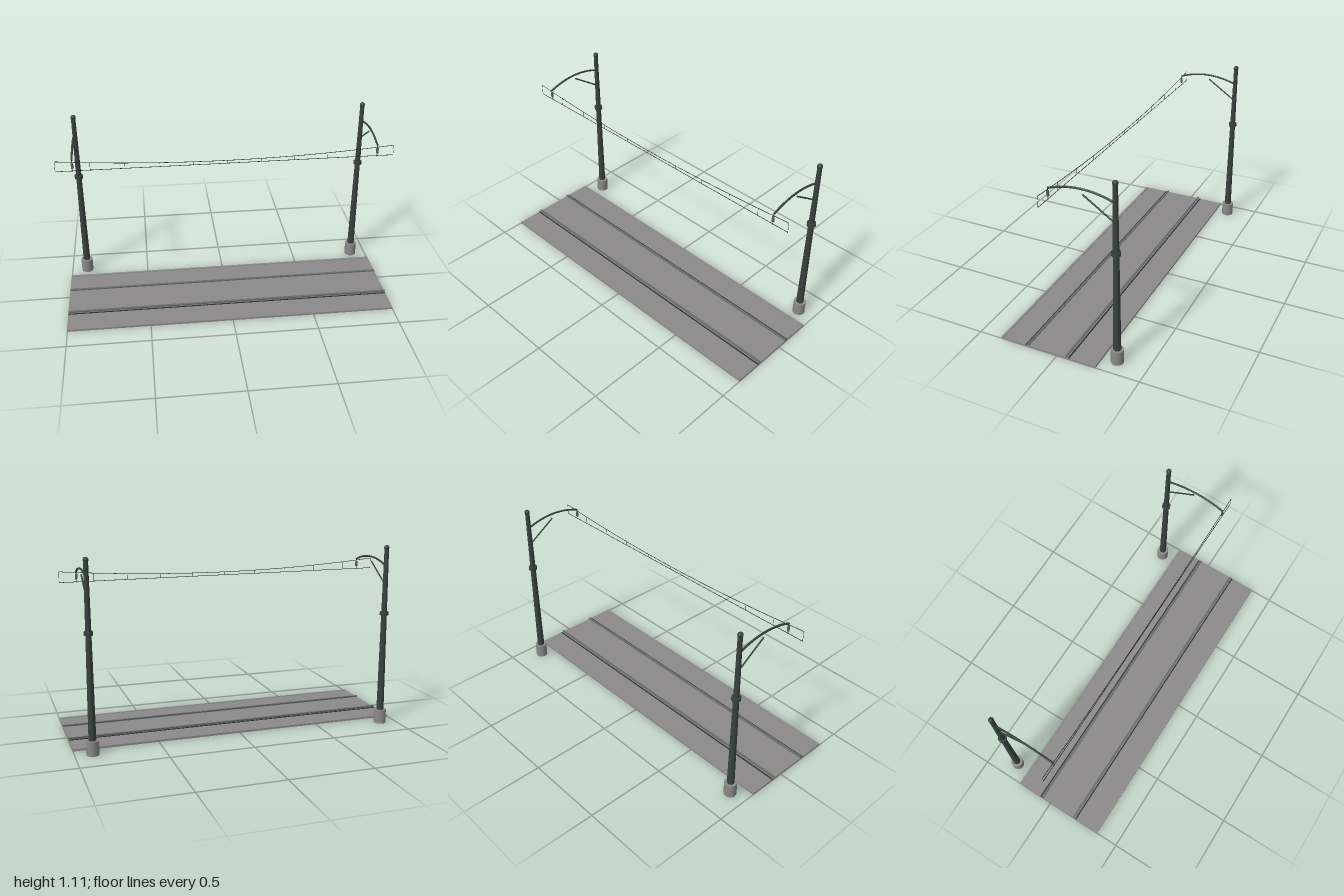
import * as THREE from 'three';

const mat = (name, color, side = THREE.FrontSide) => {
  const m = new THREE.MeshStandardMaterial({ color, side });
  m.name = name;
  return m;
};

export function createModel() {
  const concrete = mat('concrete', 0x8b8989);
  const iron = mat('dark green iron', 0x39423f);
  const steel = mat('rail steel', 0x666d6b);
  const groove = mat('groove black', 0x2e3130);
  const wire = mat('wire', 0x262828);
  const ceramic = mat('insulator grey', 0x5c5f5f);

  const model = new THREE.Group();
  model.name = 'tramTrackWithOverheadLine';

  const add = (parent, name, geometry, material, x = 0, y = 0, z = 0) => {
    const mesh = new THREE.Mesh(geometry, material);
    mesh.name = name;
    mesh.position.set(x, y, z);
    parent.add(mesh);
    return mesh;
  };
  const box = (w, h, d) => new THREE.BoxGeometry(w, h, d);
  const cyl = (rTop, rBottom, h, sides = 16) => new THREE.CylinderGeometry(rTop, rBottom, h, sides);
  // Round bar between two points
  const bar = (parent, name, a, b, r, material, sides = 8) => {
    const mesh = add(parent, name, cyl(r, r, a.distanceTo(b), sides), material);
    mesh.position.copy(a).add(b).multiplyScalar(0.5);
    mesh.quaternion.setFromUnitVectors(new THREE.Vector3(0, 1, 0), b.clone().sub(a).normalize());
    return mesh;
  };
  const v = (x, y, z) => new THREE.Vector3(x, y, z);

  // Track bed, edged with low kerbs; the track is symmetric about z = trackZ
  const track = new THREE.Group();
  track.name = 'track';
  track.position.z = 0.06;
  model.add(track);
  add(track, 'trackBed', box(2, 0.009, 0.57), concrete, 0, 0.0045, 0);

  // T-shaped rail section, drawn in (z, y) and swept along x
  const half = [[0.0025, 0.008], [0.0025, 0.014], [0.007, 0.0175], [0.007, 0.02]];
  const section = new THREE.Shape(
    [...half, ...half.map(([z, y]) => [-z, y]).reverse()].map(([z, y]) => new THREE.Vector2(z, y)));
  const railGeometry = new THREE.ExtrudeGeometry(section, { depth: 2, bevelEnabled: false });
  railGeometry.translate(0, 0, -1).rotateY(Math.PI / 2);

  for (const s of [-1, 1]) {
    add(track, 'kerb', box(2, 0.012, 0.014), concrete, 0, 0.006, s * 0.292);
    add(track, 'rail', railGeometry, steel, 0, 0, s * 0.12);
    add(track, 'flangeGroove', box(2, 0.003, 0.008), groove, 0, 0.0101, s * 0.135);
  }

  // Poles with curved bracket arms
  const poleZ = -0.322, wireZ = 0.061;
  for (const x of [-0.9, 0.9]) {
    const pole = new THREE.Group();
    pole.name = x < 0 ? 'rightPole' : 'leftPole';
    pole.position.x = x;
    model.add(pole);
    add(pole, 'footing', cyl(0.037, 0.037, 0.085), concrete, 0, 0.0425, poleZ);
    add(pole, 'shaft', cyl(0.0135, 0.022, 1.005, 12), iron, 0, 0.5825, poleZ);
    add(pole, 'collar', cyl(0.026, 0.026, 0.021), iron, 0, 0.695, poleZ);
    add(pole, 'finial', new THREE.SphereGeometry(0.016, 16, 10), iron, 0, 1.095, poleZ);

    const armCurve = new THREE.QuadraticBezierCurve3(
      v(0, 0.983, poleZ), v(0, 1.057, -0.13), v(0, 0.983, wireZ));
    add(pole, 'bracketArm', new THREE.TubeGeometry(armCurve, 20, 0.006, 8), iron);
    const tip = add(pole, 'armTip', new THREE.CircleGeometry(0.006, 8), iron, 0, 0.983, wireZ);
    tip.lookAt(armCurve.getTangent(1).add(tip.position));
    bar(pole, 'stay', v(0, 0.872, -0.316), v(0, 0.991, -0.139), 0.0045, iron);

    // Insulator hanging from the arm and gripping the contact wire
    bar(pole, 'hanger', v(0, 0.915, wireZ), v(0, 0.983, wireZ), 0.0016, wire, 6);
    add(pole, 'insulator', cyl(0.0075, 0.0075, 0.032, 10), ceramic, 0, 0.952, wireZ);
  }

  // Overhead line: sagging messenger wire, straight contact wire and droppers
  const line = new THREE.Group();
  line.name = 'overheadLine';
  model.add(line);
  const sagY = (x) => 0.938 + 0.045 * x * x;
  const contactY = 0.92;
  const points = Array.from({ length: 21 }, (_, i) => v(-1 + i * 0.1, sagY(-1 + i * 0.1), wireZ));
  add(line, 'messengerWire',
    new THREE.TubeGeometry(new THREE.CatmullRomCurve3(points), 40, 0.0017, 6), wire);
  bar(line, 'contactWire', v(-1, contactY, wireZ), v(1, contactY, wireZ), 0.0017, wire, 6);
  for (let i = 0; i <= 10; i++) {
    const x = (i - 5) * 0.1998;
    bar(line, 'dropper', v(x, contactY, wireZ), v(x, sagY(x), wireZ), 0.001, wire, 5);
  }
  return model;
}
